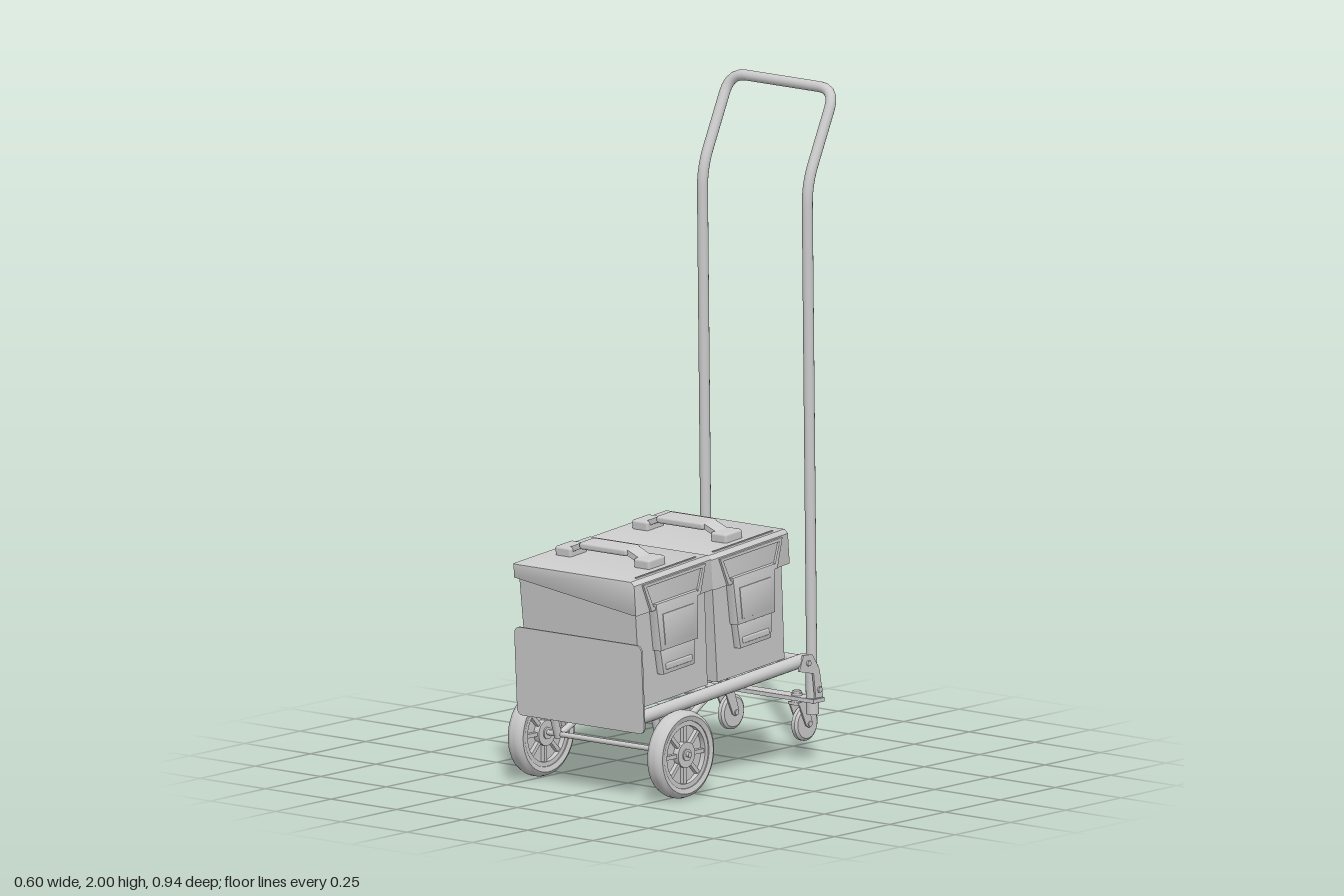
import * as THREE from 'three';
import { toCreasedNormals } from 'three/addons/utils/BufferGeometryUtils.js';
import { RoundedBoxGeometry } from 'three/addons/geometries/RoundedBoxGeometry.js';

const mat = new THREE.MeshStandardMaterial({ color: 0xcccccc, side: THREE.DoubleSide });
const V = (x, y, z) => new THREE.Vector3(x, y, z);

function add(parent, name, geo, x = 0, y = 0, z = 0) {
  const m = new THREE.Mesh(geo, mat);
  m.name = name;
  m.position.set(x, y, z);
  parent.add(m);
  return m;
}
const box = (p, name, w, h, d, x, y, z) => add(p, name, new THREE.BoxGeometry(w, h, d), x, y, z);

// Round bar between two points
function bar(p, name, a, b, r, seg = 20) {
  const m = add(p, name, new THREE.CylinderGeometry(r, r, a.distanceTo(b), seg));
  m.position.copy(a).lerp(b, 0.5);
  m.quaternion.setFromUnitVectors(V(0, 1, 0), b.clone().sub(a).normalize());
  return m;
}

// Polyline with each inner corner rounded off
function roundedPath(pts, r) {
  const path = new THREE.CurvePath();
  let prev = pts[0];
  for (let i = 1; i < pts.length - 1; i++) {
    const c = pts[i];
    const a = c.clone().add(pts[i - 1].clone().sub(c).setLength(r));
    const b = c.clone().add(pts[i + 1].clone().sub(c).setLength(r));
    path.add(new THREE.LineCurve3(prev, a));
    path.add(new THREE.QuadraticBezierCurve3(a, c, b));
    prev = b;
  }
  path.add(new THREE.LineCurve3(prev, pts[pts.length - 1]));
  return path;
}

const poly = pts => new THREE.Shape(pts.map(([x, y]) => new THREE.Vector2(x, y)));
const extrude = (shape, depth, bevel = 0) => toCreasedNormals(new THREE.ExtrudeGeometry(shape, {
  depth, bevelEnabled: bevel > 0, bevelSize: bevel, bevelThickness: bevel, bevelOffset: -bevel, bevelSegments: 2,
}), 0.6);
// Symmetric trapezoid, top and bottom half widths
const trapezoid = (t, b, y0, y1) => [[-b, y0], [b, y0], [t, y1], [-t, y1]];

function roundRect(w, h, r) {
  const s = new THREE.Shape(), x = w / 2, y = h / 2, q = Math.PI / 2;
  s.absarc(x - r, y - r, r, 0, q);
  s.absarc(-x + r, y - r, r, q, 2 * q);
  s.absarc(-x + r, -y + r, r, 2 * q, 3 * q);
  s.absarc(x - r, -y + r, r, 3 * q, 4 * q);
  return s;
}

function latch() {
  const g = new THREE.Group();
  g.name = 'latch';
  // wire-like strap over the lid edge
  const strap = poly(trapezoid(0.142, 0.112, 0.285, 0.372));
  strap.holes.push(new THREE.Path(trapezoid(0.126, 0.1, 0.298, 0.362).map(p => new THREE.Vector2(...p))));
  add(g, 'latchStrap', extrude(strap, 0.016, 0.003), 0, 0, 0.2);
  add(g, 'latchPlate', extrude(poly(trapezoid(0.096, 0.085, 0.16, 0.305)), 0.03, 0.004), 0, 0, 0.19);
  add(g, 'latchPanel', extrude(poly(trapezoid(0.07, 0.066, 0.175, 0.27)), 0.007, 0.002), 0, 0, 0.217);
  add(g, 'latchPull', extrude(poly(trapezoid(0.08, 0.07, 0.085, 0.165)), 0.022, 0.004), 0, 0, 0.19);
  add(g, 'latchLip', new RoundedBoxGeometry(0.12, 0.02, 0.02, 2, 0.005), 0, 0.108, 0.21);
  g.rotation.y = Math.PI / 2;
  return g;
}

function storageBox(y, z) {
  const g = new THREE.Group();
  g.name = 'storageBox';
  // body narrowing slightly towards the floor
  const body = new THREE.BoxGeometry(0.44, 0.36, 0.316);
  const p = body.attributes.position;
  for (let i = 0; i < p.count; i++) {
    if (p.getY(i) < 0) p.setXYZ(i, p.getX(i) * 0.97, p.getY(i), p.getZ(i) * 0.965);
  }
  body.computeVertexNormals();
  add(g, 'boxBody', body, -0.024, 0.18, 0);
  // lid with a skirt that deepens towards the latch
  const lid = poly([[-0.25, 0.345], [0.2, 0.285], [0.212, 0.285], [0.212, 0.376], [0.2, 0.388], [-0.25, 0.388]]);
  add(g, 'boxLid', extrude(lid, 0.344, 0.004), 0, 0, -0.172);
  box(g, 'lidRib', 0.006, 0.004, 0.27, 0.185, 0.389, 0);
  // carrying handle
  const h = new THREE.Group();
  h.name = 'lidHandle';
  h.position.set(-0.025, 0.388, 0);
  for (const s of [-1, 1]) {
    add(h, 'handleFoot', new RoundedBoxGeometry(0.06, 0.034, 0.078, 2, 0.008), s * 0.15, 0.01, 0);
    const neck = box(h, 'handleNeck', 0.055, 0.016, 0.052, s * 0.108, 0.028, 0);
    neck.rotation.z = -s * 0.4;
  }
  add(h, 'handleGrip', new RoundedBoxGeometry(0.18, 0.022, 0.07, 2, 0.008), 0, 0.037, 0);
  g.add(h, latch());
  g.position.set(0, y, z);
  g.rotation.x = 0.085;
  return g;
}

function frontWheel(s) {
  const g = new THREE.Group();
  g.name = 'frontWheel';
  const tyre = [[0.1, -0.024], [0.115, -0.028], [0.125, -0.022], [0.13, -0.009], [0.13, 0.009],
    [0.125, 0.022], [0.115, 0.028], [0.1, 0.024], [0.098, 0], [0.1, -0.024]];
  add(g, 'tyre', toCreasedNormals(new THREE.LatheGeometry(tyre.map(q => new THREE.Vector2(...q)), 48), 0.7));
  const rim = [[0.1, -0.021], [0.1, 0.021], [0.088, 0.021], [0.086, -0.021], [0.1, -0.021]];
  add(g, 'rim', toCreasedNormals(new THREE.LatheGeometry(rim.map(q => new THREE.Vector2(...q)), 48), 0.5));
  add(g, 'wheelWeb', new THREE.CylinderGeometry(0.09, 0.09, 0.008, 40));
  add(g, 'hub', new THREE.CylinderGeometry(0.038, 0.038, 0.046, 32));
  add(g, 'hubCap', new THREE.CylinderGeometry(0.018, 0.018, 0.054, 24));
  for (let i = 0; i < 8; i++) {
    const a = i * Math.PI / 4;
    const spoke = box(g, 'spoke', 0.056, 0.034, 0.012, Math.cos(a) * 0.062, 0, Math.sin(a) * 0.062);
    spoke.rotation.y = -a;
  }
  g.rotation.z = Math.PI / 2;
  g.position.set(s * 0.266, 0.132, 0.326);
  return g;
}

function caster(s) {
  const g = new THREE.Group();
  g.name = 'caster';
  add(g, 'casterWheel', new RoundedBoxGeometry(0.001, 0.001, 0.001, 1, 0.0002)).visible = false;
  g.clear();
  const tread = [[0, -0.012], [0.044, -0.012], [0.052, -0.006], [0.052, 0.006], [0.044, 0.012], [0, 0.012]];
  const wheel = add(g, 'casterWheel',
    toCreasedNormals(new THREE.LatheGeometry(tread.map(q => new THREE.Vector2(...q)), 32), 0.5), 0, 0.105, -0.384);
  wheel.rotation.z = Math.PI / 2;
  bar(g, 'casterAxle', V(-0.024, 0.105, -0.384), V(0.024, 0.105, -0.384), 0.008);
  // fork: two cheeks leaning back to the wheel axle, joined by a crown
  const cheek = poly([[0.335, 0.172], [0.375, 0.172], [0.397, 0.108], [0.384, 0.093], [0.37, 0.1]]);
  for (const k of [-1, 1]) {
    add(g, 'forkCheek', extrude(cheek, 0.005), k * 0.018 - 0.0025, 0, 0).rotation.y = Math.PI / 2;
  }
  box(g, 'forkCrown', 0.041, 0.008, 0.044, 0, 0.17, -0.356);
  bar(g, 'casterStem', V(0, 0.165, -0.35), V(0, 0.2, -0.35), 0.016);
  bar(g, 'casterNut', V(0, 0.19, -0.35), V(0, 0.207, -0.35), 0.013, 6);
  g.position.x = s * 0.14;
  return g;
}

export function createModel() {
  const cart = new THREE.Group();
  cart.name = 'handCart';

  // Tall push handle
  const pts = [V(-0.2, 0.2, -0.347), V(-0.2, 1.72, -0.325), V(-0.2, 1.985, -0.452),
    V(0.2, 1.985, -0.452), V(0.2, 1.72, -0.325), V(0.2, 0.2, -0.347)];
  add(cart, 'pushHandle', new THREE.TubeGeometry(roundedPath(pts, 0.06), 220, 0.016, 16));

  // Deck frame
  const railY = z => 0.285 - 0.088 * z;
  for (const s of [-1, 1]) {
    const x = s * 0.203;
    bar(cart, 'sideRail', V(x, railY(0.46), 0.46), V(x, railY(-0.31), -0.31), 0.02);
    bar(cart, 'handleSocket', V(s * 0.2, 0.145, -0.35), V(s * 0.2, 0.29, -0.346), 0.019);
    // folding hinge between rail and handle
    const hinge = poly([[0.26, 0.285], [0.28, 0.332], [0.32, 0.328], [0.352, 0.28], [0.368, 0.195], [0.335, 0.195], [0.325, 0.27]]);
    add(cart, 'hingePlate', extrude(hinge, 0.006), s * 0.222 - 0.003, 0, 0).rotation.y = Math.PI / 2;
    for (const [y, z] of [[0.305, -0.3], [0.22, -0.35]]) {
      bar(cart, 'hingeBolt', V(s * 0.19, y, z), V(s * 0.231, y, z), 0.009, 6);
    }
    // wheel struts
    bar(cart, 'wheelStrut', V(s * 0.17, railY(0.09) - 0.02, 0.09), V(s * 0.19, 0.138, 0.326), 0.01);
    bar(cart, 'axleLeg', V(s * 0.2, railY(0.37), 0.37), V(s * 0.2, 0.125, 0.326), 0.012);
    cart.add(frontWheel(s), caster(s));
  }
  for (const z of [-0.3, 0.07, 0.11, 0.44]) {
    bar(cart, 'crossBar', V(-0.2, railY(z), z), V(0.2, railY(z), z), 0.015);
  }
  bar(cart, 'axle', V(-0.302, 0.134, 0.326), V(0.302, 0.134, 0.326), 0.008);

  // Front guard panel
  const guard = add(cart, 'frontPanel', extrude(roundRect(0.485, 0.265, 0.02), 0.006), -0.003, 0.338, 0.46);
  guard.rotation.x = 0.055;

  // Rear plate carrying the casters, with its locking pin
  box(cart, 'rearPlate', 0.45, 0.012, 0.05, 0, 0.187, -0.35);
  bar(cart, 'lockingPin', V(-0.235, 0.212, -0.35), V(-0.12, 0.212, -0.35), 0.006);
  const ring = add(cart, 'pinRing', new THREE.TorusGeometry(0.019, 0.005, 10, 28), -0.243, 0.212, -0.367);
  ring.rotation.x = Math.PI / 2;
  bar(cart, 'pinClip', V(-0.228, 0.212, -0.38), V(-0.165, 0.212, -0.352), 0.005);

  cart.add(storageBox(0.284, 0.265), storageBox(0.311, -0.083));
  return cart;
}
